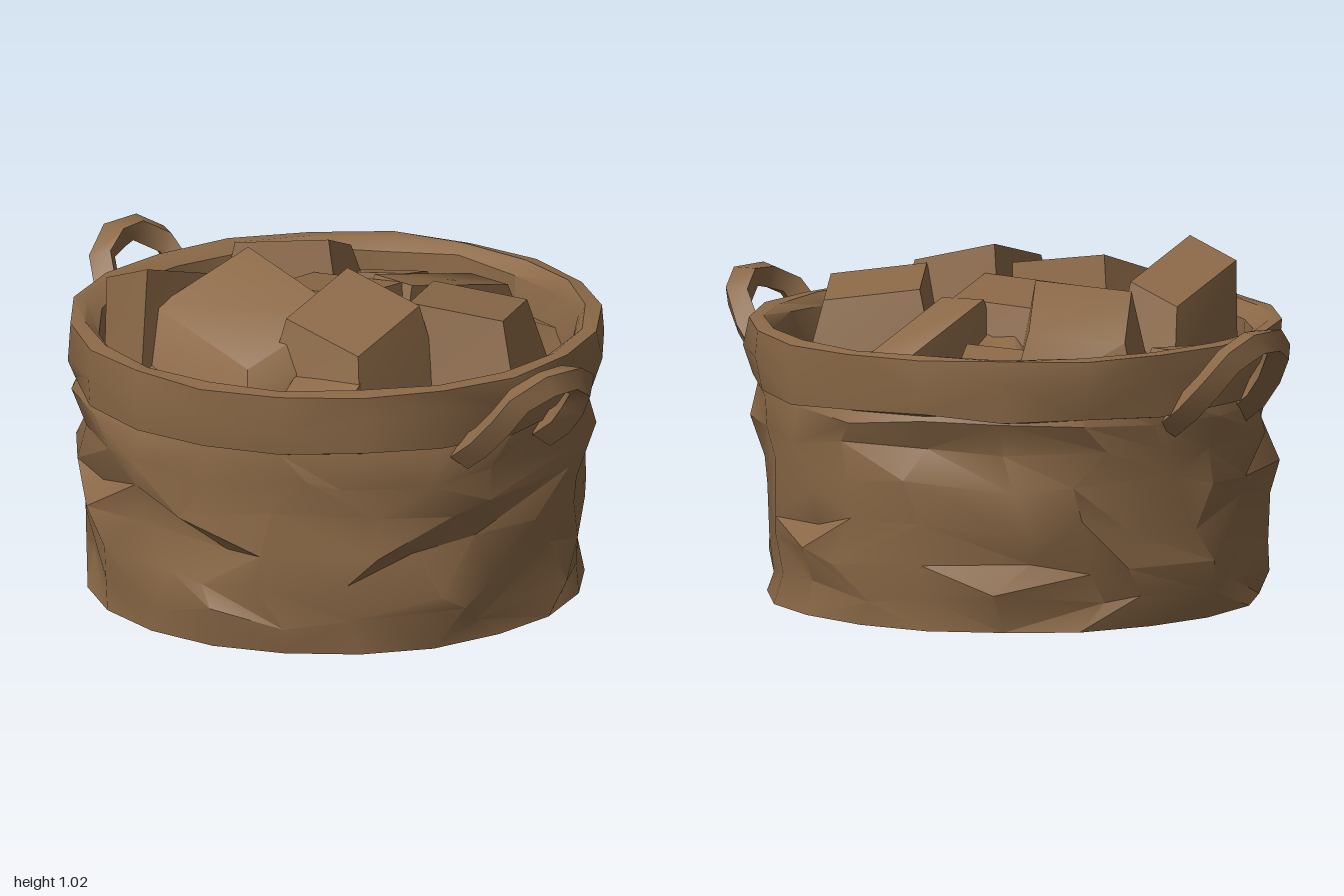
import * as THREE from 'three';
import { toCreasedNormals } from 'three/addons/utils/BufferGeometryUtils.js';

const SEG = 20;

// Repeatable noise in -1..1 from two integers
function noise(i, j) {
  const s = Math.sin(i * 127.1 + j * 311.7 + 4.2) * 43758.5453;
  return (s - Math.floor(s)) * 2 - 1;
}

// Rings swept around y; each row is [radius, height, radial jitter, height jitter]
function loft(rows, crease, seed) {
  const pos = [], index = [];
  rows.forEach(([r, y, jr, jy], i) => {
    for (let j = 0; j < SEG; j++) {
      const shift = jr > 0.02 ? noise(i + seed, j + 50) * 0.4 : 0;
      const a = ((j + shift) / SEG) * Math.PI * 2;
      const rr = r + jr * noise(i + seed, j);
      pos.push(rr * Math.cos(a) * 0.985 - 0.015, y + jy * noise(j, i + seed + 9), rr * Math.sin(a));
    }
  });
  for (let i = 0; i < rows.length - 1; i++) {
    for (let j = 0; j < SEG; j++) {
      const k = (j + 1) % SEG, a = i * SEG + j, b = i * SEG + k;
      // Alternate the diagonals so the folds run both ways
      if (noise(i + seed, j + 90) > 0) index.push(a, a + SEG, b, b + SEG, b, a + SEG);
      else index.push(a, a + SEG, b + SEG, a, b + SEG, b);
    }
  }
  const g = new THREE.BufferGeometry();
  g.setAttribute('position', new THREE.Float32BufferAttribute(pos, 3));
  g.setIndex(index);
  return toCreasedNormals(g, crease);
}

// Angular chunk: a turned block with a sloped top and sides that spread
// towards the basket wall
function chunk([x, z, width, depth, turn, height, slopeX, slopeZ]) {
  const g = new THREE.BoxGeometry(width, 1, depth).rotateY(turn);
  const p = g.attributes.position;
  for (let i = 0; i < p.count; i++) {
    const dx = p.getX(i), dz = p.getZ(i);
    if (p.getY(i) > 0) {
      p.setXYZ(i, x + dx, height + slopeX * dx + slopeZ * dz, z + dz);
    } else {
      const bx = x + dx * 1.45, bz = z + dz * 1.45;
      const fit = Math.min(1, 0.69 / Math.hypot(bx, bz));
      p.setXYZ(i, bx * fit, 0.64, bz * fit);
    }
  }
  return toCreasedNormals(g, 1.0);
}

export function createModel() {
  const group = new THREE.Group();
  const brown = new THREE.MeshStandardMaterial({ color: 0x8b6947, side: THREE.DoubleSide });
  brown.name = 'brown';
  const add = (name, geometry) => {
    const mesh = new THREE.Mesh(geometry, brown);
    mesh.name = name;
    group.add(mesh);
  };

  // Crumpled wall with a closed, nearly flat bottom
  add('basketBody', loft([
    [0.001, 0.003, 0, 0],
    [0.45, 0.008, 0, 0.005],
    [0.725, 0.018, 0.012, 0.004],
    [0.735, 0.11, 0.03, 0.03],
    [0.735, 0.21, 0.035, 0.035],
    [0.74, 0.32, 0.035, 0.035],
    [0.745, 0.43, 0.035, 0.035],
    [0.75, 0.54, 0.03, 0.03],
    [0.765, 0.63, 0.015, 0.015],
    [0.74, 0.7, 0, 0],
  ], 0.6, 1));

  // Thick rolled rim
  add('rim', loft([
    [0.72, 0.64, 0.01, 0.01],
    [0.775, 0.655, 0.012, 0.012],
    [0.785, 0.74, 0.018, 0.03],
    [0.785, 0.825, 0.006, 0.005],
    [0.74, 0.83, 0.008, 0.004],
    [0.705, 0.8, 0.01, 0.01],
    [0.695, 0.6, 0.015, 0.02],
  ], 0.7, 21));

  // Uneven fill under the chunks
  add('fill', loft([
    [0.715, 0.66, 0, 0.04],
    [0.56, 0.7, 0.03, 0.07],
    [0.38, 0.73, 0.04, 0.08],
    [0.18, 0.78, 0.03, 0.05],
    [0.001, 0.8, 0, 0],
  ], 0.8, 41));

  // Heaped chunks: x, z, width, depth, turn, height, slope x, slope z
  const chunks = [
    [-0.02, 0.34, 0.44, 0.34, -0.08, 0.92, -0.15, -0.35],
    [-0.34, 0.38, 0.16, 0.32, 0.1, 0.95, 0.4, 0.25],
    [0.28, 0.2, 0.26, 0.3, 0.2, 0.95, -0.3, -0.2],
    [0.36, 0.38, 0.22, 0.24, 0.5, 0.79, 0, -0.3],
    [0.36, -0.18, 0.28, 0.3, 0.6, 0.92, -0.05, 0.15],
    [-0.4, -0.18, 0.28, 0.28, 0.6, 0.91, 0.3, 0.25],
    [-0.56, 0.17, 0.16, 0.23, 0, 0.77, 0, -0.1],
    [0, -0.4, 0.14, 0.44, 0.15, 0.85, 0, 0.25],
    [-0.3, -0.45, 0.2, 0.18, 0.5, 0.79, 0.2, 0.2],
    [-0.04, -0.02, 0.3, 0.26, 0.3, 0.91, 0.1, 0.1],
    [0.57, 0.11, 0.12, 0.22, 0, 0.73, -0.1, 0],
  ];
  chunks.forEach((spec, i) => add('chunk' + (i + 1), chunk(spec)));

  // Bent loop handles with angular corners, leaning out from both sides
  for (const side of [1, -1]) {
    const points = [
      [0.71, 0.61, -0.16], [0.82, 0.69, -0.165], [0.91, 0.81, -0.13], [0.955, 0.875, -0.02],
      [0.91, 0.82, 0.11], [0.82, 0.69, 0.155], [0.71, 0.61, 0.16],
    ].map(([x, y, z]) => new THREE.Vector3(x * side, y, z));
    const curve = new THREE.CatmullRomCurve3(points, false, 'catmullrom', 0);
    const tube = new THREE.TubeGeometry(curve, 9, 0.046, 4, false);
    add(side > 0 ? 'leftHandle' : 'rightHandle', toCreasedNormals(tube, 0.9));
  }
  return group;
}
